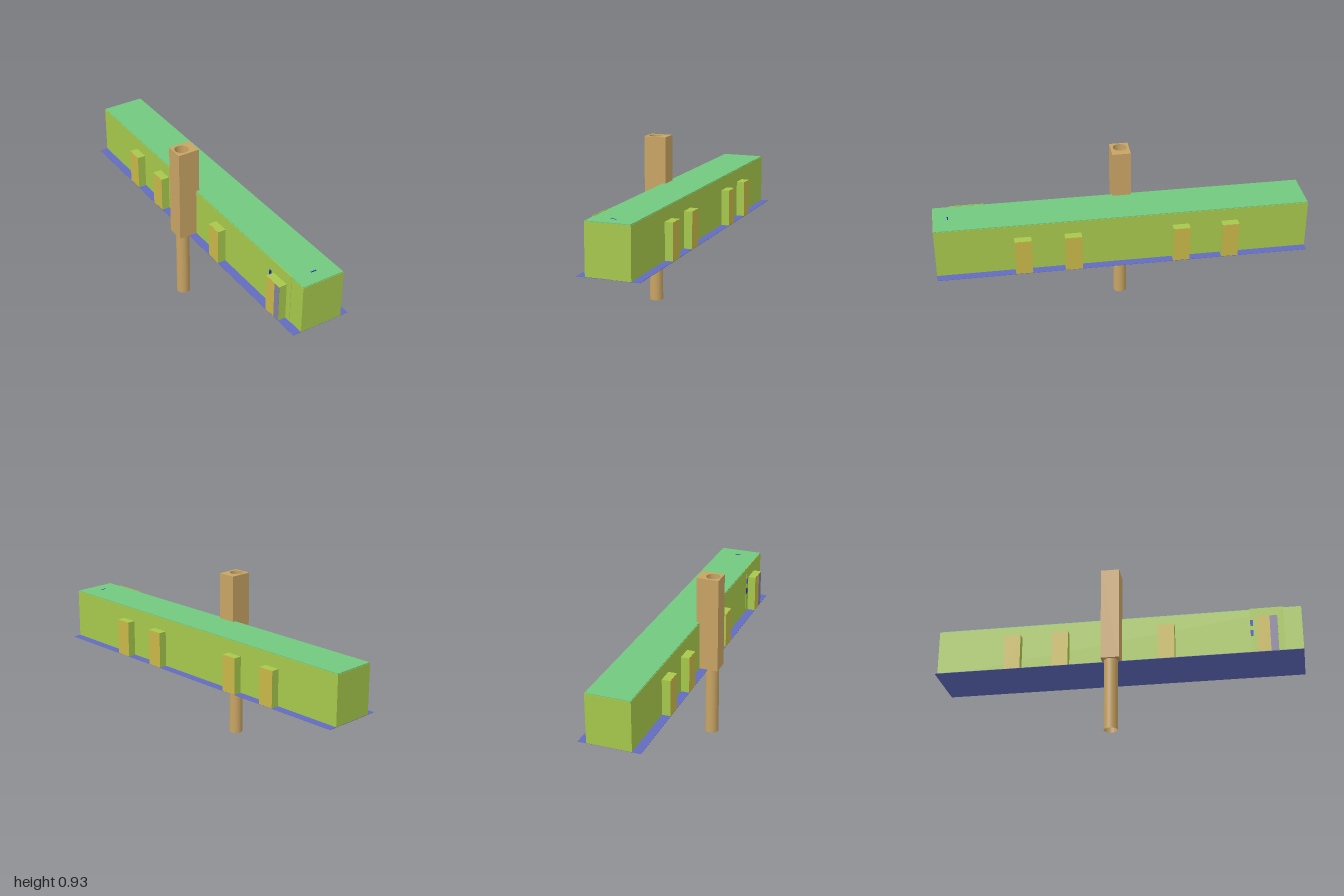
import * as THREE from 'three';

const mat = (color, side = THREE.FrontSide) => new THREE.MeshStandardMaterial({ color, side });

export function createModel() {
  const model = new THREE.Group();
  const lime = mat(0xa6c84c), green = mat(0x72c87e), blue = mat(0x626cc0);
  const yellow = mat(0xc8b848), tan = mat(0xc8a464), mauve = mat(0x8480a0);
  const navy = mat(0x2020c0);

  // box given by its minimum and maximum along each axis
  const box = (name, material, [x0, x1], [y0, y1], [z0, z1]) => {
    const mesh = new THREE.Mesh(new THREE.BoxGeometry(x1 - x0, y1 - y0, z1 - z0), material);
    mesh.position.set((x0 + x1) / 2, (y0 + y1) / 2, (z0 + z1) / 2);
    mesh.name = name;
    model.add(mesh);
  };

  const floorY = 0.397, left = -0.092, right = 0.148;

  // long hall: base sheet, walls and roof
  box('base', blue, [-0.138, 0.193], [floorY - 0.001, floorY + 0.001], [-1, 1]);
  box('walls', lime, [left, right], [floorY, 0.668], [-1, 1]);
  box('roof', green, [left + 0.002, right - 0.002], [0.668, 0.672], [-0.998, 0.998]);

  // buttresses: lime blocks with a yellow outer face
  const buttress = (side, z, width, top) => {
    const wall = side > 0 ? right : left;
    const outer = side > 0 ? 0.192 : -0.137;
    const span = (a, b) => [Math.min(a, b), Math.max(a, b)];
    const depth = [z - width / 2, z + width / 2];
    box('buttress', lime, span(wall, outer), [floorY, top], depth);
    box('buttressFace', yellow, span(outer, outer + side * 0.001), [floorY, top - 0.001], depth);
  };
  for (const z of [-0.57, -0.305, 0.275, 0.54]) buttress(1, z, 0.09, 0.597);
  for (const z of [-0.57, -0.305, 0.275]) buttress(-1, z, 0.09, 0.597);

  // wall panel with an entrance block and two hinges
  box('wallPanel', lime, [left - 0.002, left + 0.002], [floorY, 0.675], [0.725, 0.905]);
  buttress(-1, 0.815, 0.11, 0.607);
  box('entranceStrip', mauve, [-0.1385, -0.137], [floorY, 0.604], [0.83, 0.87]);
  for (const y of [0.53, 0.59])
    box('hinge', navy, [left - 0.005, left], [y - 0.015, y + 0.015], [0.725, 0.74]);

  // small marker on the roof
  box('roofMarker', navy, [0.01, 0.04], [0.672, 0.673], [0.918, 0.924]);

  // square post with a round bore
  const postX = -0.149, postZ = -0.021, bore = 0.037;
  const section = new THREE.Shape([
    new THREE.Vector2(-0.195, 0.07), new THREE.Vector2(-0.195, -0.03),
    new THREE.Vector2(-0.073, -0.03), new THREE.Vector2(-0.073, 0.07),
  ]);
  section.holes.push(new THREE.Path().absarc(postX, -postZ, bore, 0, Math.PI * 2, true));
  const post = new THREE.Mesh(
    new THREE.ExtrudeGeometry(section, { depth: 0.925 - floorY, bevelEnabled: false, curveSegments: 32 }), tan);
  post.rotation.x = -Math.PI / 2;
  post.position.y = floorY;
  post.name = 'squarePost';
  model.add(post);

  // hollow pipe below the post
  const pipe = new THREE.Mesh(
    new THREE.CylinderGeometry(bore, bore, floorY, 32, 1, true), mat(0xc8a464, THREE.DoubleSide));
  pipe.position.set(postX, floorY / 2, postZ);
  pipe.name = 'pipe';
  model.add(pipe);

  return model;
}
